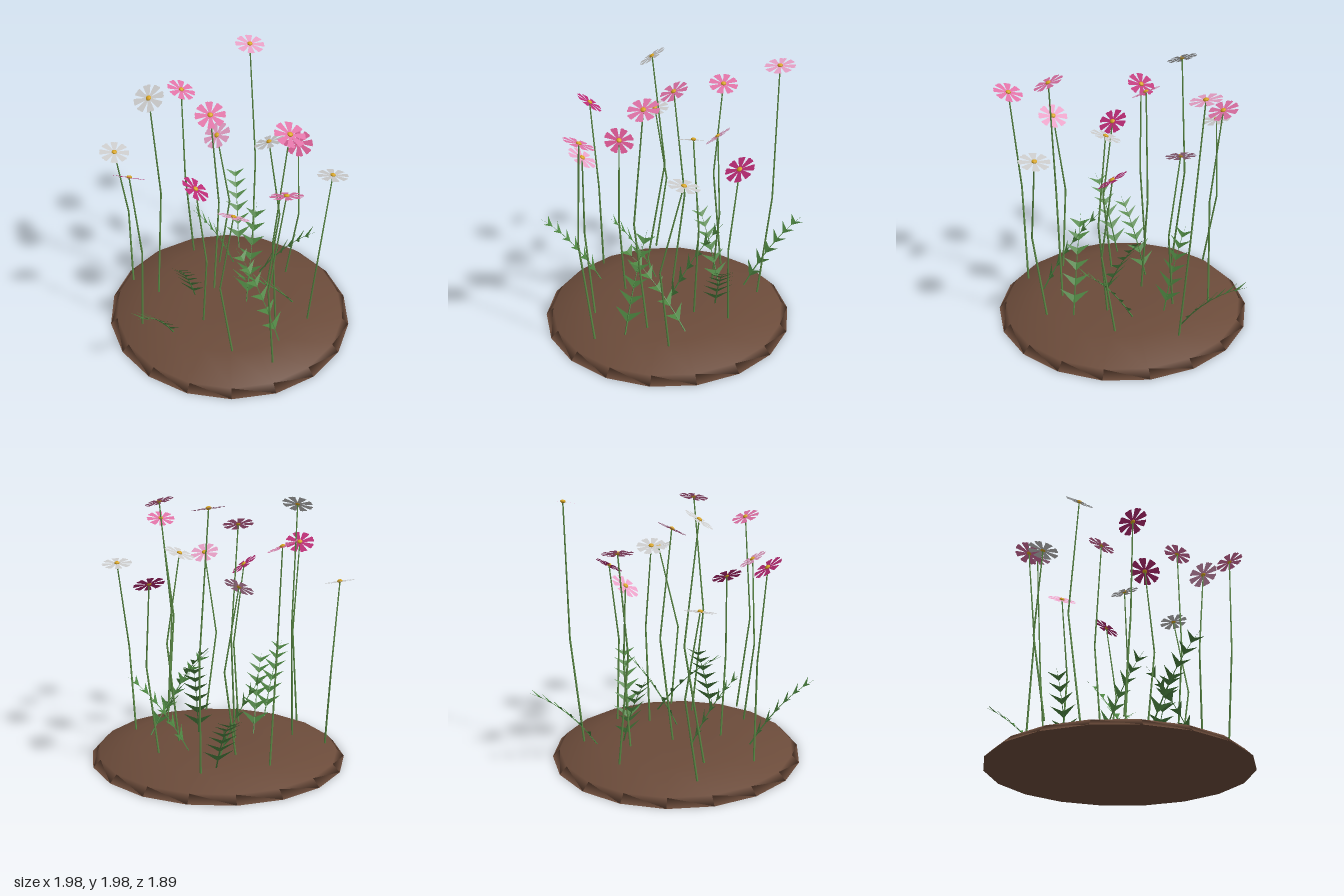
import * as THREE from 'three';
import { mergeGeometries } from 'three/addons/utils/BufferGeometryUtils.js';

const UP = new THREE.Vector3(0, 1, 0);
const V = (x, y, z) => new THREE.Vector3(x, y, z);
const mat = (color, extra = {}) => new THREE.MeshStandardMaterial({ color, ...extra });

const soil = mat(0x6b4b3a);
const stemGreen = mat(0x5c8c46);
const leafGreen = mat(0x4c8440, { side: THREE.DoubleSide, flatShading: true });
const yellow = mat(0xd9a520);
const petalColours = {
  white: mat(0xffffff, { side: THREE.DoubleSide }),
  pink: mat(0xdf72a6, { side: THREE.DoubleSide }),
  pale: mat(0xe8a0c6, { side: THREE.DoubleSide }),
  magenta: mat(0xbc2c76, { side: THREE.DoubleSide }),
};

function mesh(name, geometry, material) {
  const m = new THREE.Mesh(geometry, material);
  m.name = name;
  return m;
}

// Tapered rod between two points
function rod(a, b, r0, r1, sides) {
  const d = b.clone().sub(a);
  const g = new THREE.CylinderGeometry(r1, r0, d.length(), sides, 1);
  g.applyQuaternion(new THREE.Quaternion().setFromUnitVectors(UP, d.normalize()));
  const c = a.clone().add(b).multiplyScalar(0.5);
  return g.translate(c.x, c.y, c.z);
}

// Eight broad petals lying flat, facing +y
function petalRing() {
  const petals = [];
  for (let i = 0; i < 8; i++) {
    const s = new THREE.Shape();
    s.moveTo(-0.007, 0.01);
    s.lineTo(0.007, 0.01);
    s.lineTo(0.028, 0.105);
    s.lineTo(0.012, 0.111);
    s.lineTo(0, 0.107);
    s.lineTo(-0.012, 0.111);
    s.lineTo(-0.028, 0.105);
    petals.push(new THREE.ShapeGeometry(s).rotateZ(i * Math.PI / 4));
  }
  return mergeGeometries(petals).rotateX(-Math.PI / 2);
}
const petalGeometry = petalRing();
const eyeGeometry = new THREE.SphereGeometry(0.02, 10, 6).scale(1, 0.6, 1);

// colour, head position, tilt of the head (x, z), stem bend, foot of stem (x, z)
const flowers = [
  ['white', [-0.31, 1.36, -0.81], [-0.06, 0.22], [-0.21, 0.75, -0.81], [-0.28, -0.74]],
  ['white', [-0.23, 1.9, -0.5], [-0.65, 0.14], [-0.135, 1.02, -0.52], [-0.27, -0.47]],
  ['pink', [0.285, 1.68, -0.665], [0.15, 0.4], [0.24, 0.95, -0.61], [0.32, -0.61]],
  ['pale', [0.33, 1.38, -0.355], [-0.78, -0.1], [0.38, 0.77, -0.27], [0.32, -0.33]],
  ['pale', [0.76, 1.962, -0.39], [-0.07, 0.2], [0.77, 0.95, -0.32], [0.7, -0.28]],
  ['magenta', [-0.665, 1.555, -0.295], [0.65, -0.3], [-0.605, 0.86, -0.28], [-0.605, -0.33]],
  ['pink', [0.04, 1.765, -0.17], [-0.4, 0.37], [0.13, 0.95, -0.17], [0.04, -0.15]],
  ['magenta', [-0.325, 1.405, 0], [0.45, 0.58], [-0.31, 0.78, 0.08], [-0.29, 0.02]],
  ['white', [0.285, 1.56, 0.17], [-0.08, -0.38], [0.355, 0.9, 0.24], [0.31, 0.17]],
  ['magenta', [0.625, 1.39, 0.19], [-0.4, 0.55], [0.58, 0.78, 0.26], [0.575, 0.165]],
  ['pale', [-0.44, 1.44, 0.435], [0.6, -0.14], [-0.48, 0.79, 0.35], [-0.4, 0.4]],
  ['pink', [0.04, 1.883, 0.52], [-0.07, 0.43], [-0.05, 1.0, 0.48], [0.04, 0.47]],
  ['white', [0.365, 1.45, 0.675], [0.18, -0.09], [0.21, 0.78, 0.7], [0.25, 0.62]],
  ['pink', [-0.32, 1.7, 0.77], [0.3, -0.3], [-0.385, 0.9, 0.7], [-0.29, 0.695]],
];

function createFlower([colour, head, tilt, bend, foot]) {
  const g = new THREE.Group();
  g.name = 'flower';
  const top = V(...head), mid = V(...bend), base = V(foot[0], 0.13, foot[1]);
  const stem = mergeGeometries([
    rod(base, mid, 0.008, 0.0068, 6),
    rod(mid, top, 0.0068, 0.005, 6),
  ]);
  g.add(mesh('stem', stem, stemGreen));

  const bloom = new THREE.Group();
  bloom.name = 'bloom';
  bloom.position.copy(top);
  bloom.quaternion.setFromUnitVectors(UP, V(tilt[0], 1, tilt[1]).normalize());
  const eye = mesh('flowerEye', eyeGeometry, yellow);
  eye.position.y = 0.004;
  bloom.add(mesh('petals', petalGeometry, petalColours[colour]), eye);
  g.add(bloom);
  return g;
}

// foot (x, z) and tip (x, y, z) of each feathery leaf
const fronds = [
  [[-0.53, -0.075], [-0.98, 0.66, 0.02]],
  [[-0.11, -0.22], [-0.45, 0.7, -0.09]],
  [[0.4, -0.24], [0.16, 0.72, -0.46]],
  [[-0.09, 0.6], [-0.06, 0.79, 0.15]],
  [[0.43, 0.0], [0.59, 0.68, 0.42]],
  [[0.08, 0.15], [0.46, 0.81, -0.06]],
  [[0.32, 0.43], [-0.24, 0.7, 0.27]],
  [[0.58, -0.33], [0.95, 0.64, -0.68]],
];

// Pointed blade: its wide end follows the rib from a to b
function blade(a, b, tip) {
  const g = new THREE.BufferGeometry().setFromPoints([a, tip, b]);
  g.computeVertexNormals();
  return g;
}

function createFrond([foot, tipAt]) {
  const g = new THREE.Group();
  g.name = 'featheryLeaf';
  const base = V(foot[0], 0.14, foot[1]), tip = V(...tipAt);
  // The rib rises steeply, then arches outward
  const control = base.clone().lerp(tip, 0.45);
  control.y += 0.13;
  const rib = new THREE.QuadraticBezierCurve3(base, control, tip);
  const pts = rib.getPoints(6);
  const rods = [];
  for (let i = 0; i < 6; i++) {
    rods.push(rod(pts[i], pts[i + 1], 0.006 - i * 0.0009, 0.0051 - i * 0.0009, 4));
  }
  g.add(mesh('leafRib', mergeGeometries(rods), leafGreen));

  // Paired leaflets, swept up and toward the tip
  const blades = [];
  for (let i = 0; i < 6; i++) {
    const t = 0.1 + i * 0.145;
    const a = rib.getPoint(t), b = rib.getPoint(t + 0.07);
    const along = rib.getTangent(t);
    const across = along.clone().cross(UP).normalize();
    const length = 0.15 - i * 0.008;
    for (const side of [-1, 1]) {
      const dir = across.clone().multiplyScalar(side * 0.75).addScaledVector(along, 0.6);
      dir.y += 0.15;
      blades.push(blade(a, b, a.clone().addScaledVector(dir.normalize(), length)));
    }
  }
  g.add(mesh('leaflets', mergeGeometries(blades), leafGreen));
  return g;
}

// Low dome with a softly rounded rim and a flat underside
function createMound() {
  const profile = [[0, 0], [0.945, 0], [0.89, 0.055], [0.62, 0.143], [0.3, 0.153], [0, 0.155]]
    .map(([r, y]) => new THREE.Vector2(r, y));
  const geometry = new THREE.LatheGeometry(profile, 18, Math.PI / 2).scale(1, 1, 1.018);
  const mound = mesh('soilMound', geometry, soil);
  mound.position.x = 0.05;
  return mound;
}

export function createModel() {
  const model = new THREE.Group();
  model.name = 'flowerPatch';
  model.add(createMound());
  flowers.forEach((f) => model.add(createFlower(f)));
  fronds.forEach((f) => model.add(createFrond(f)));
  return model;
}
